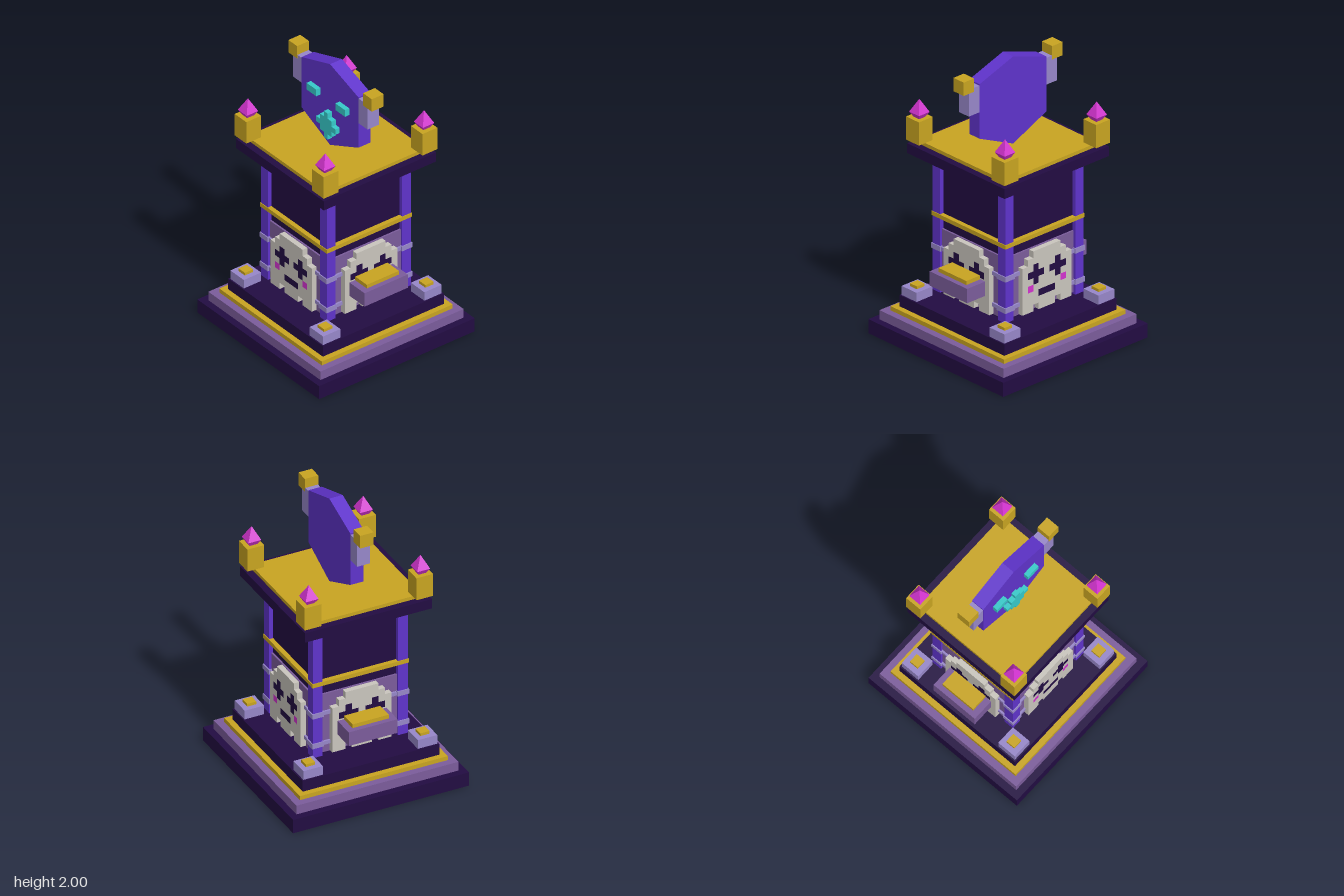
import * as THREE from 'three';
import { mergeGeometries } from 'three/addons/utils/BufferGeometryUtils.js';

const mat = (name, color) => {
  const m = new THREE.MeshStandardMaterial({ color });
  m.name = name;
  return m;
};

export function createModel() {
  const dark = mat('midnight', 0x220c42);
  const violet = mat('violet', 0x5f33cb);
  const plum = mat('plum', 0x7b5c9b);
  const lavender = mat('lavender', 0x9787c9);
  const gold = mat('gold', 0xc8a421);
  const magenta = mat('magenta', 0xd233cf);
  const teal = mat('teal', 0x36c9c9);
  const bone = mat('bone', 0xc9c5bd);

  const root = new THREE.Group();
  root.name = 'shrineTower';

  const add = (name, geo, material, parent = root) => {
    const m = new THREE.Mesh(geo, material);
    m.name = name;
    parent.add(m);
    return m;
  };
  // Box given by its extents on each axis
  const boxGeo = (x0, x1, y0, y1, z0, z1) =>
    new THREE.BoxGeometry(x1 - x0, y1 - y0, z1 - z0)
      .translate((x0 + x1) / 2, (y0 + y1) / 2, (z0 + z1) / 2);
  // Square slab centred on the tower axis
  const slab = (name, half, y0, y1, material) =>
    add(name, boxGeo(-half, half, y0, y1, -half, half), material);
  // Pixel art: one box for each run of equal letters, merged per letter
  const pixels = (rows, size, top, z0, z1, letter) => {
    const geos = [];
    rows.forEach((row, r) => {
      for (let c = 0; c < row.length; c++) {
        if (row[c] !== letter) continue;
        const start = c;
        while (row[c + 1] === letter) c++;
        const left = -row.length * size / 2;
        geos.push(boxGeo(left + start * size, left + (c + 1) * size,
          top - (r + 1) * size, top - r * size, z0, z1));
      }
    });
    return mergeGeometries(geos);
  };

  // Stepped base
  slab('baseStep', 0.63, 0, 0.1, dark);
  slab('plumStep', 0.58, 0.1, 0.165, plum);
  slab('goldStep', 0.53, 0.165, 0.195, gold);
  slab('topStep', 0.49, 0.195, 0.275, dark);

  // Tower body and roof
  slab('core', 0.312, 0.32, 1.285, dark);
  slab('goldBand', 0.345, 0.848, 0.877, gold);
  slab('roofSlab', 0.455, 1.285, 1.355, dark);
  slab('roofPlate', 0.405, 1.355, 1.38, gold);

  // Corner parts: foot blocks, pillars, wraps, roof posts and gems
  const diag = Math.SQRT2;
  const gemTop = new THREE.ConeGeometry(0.0465 * diag, 0.092, 4, 1, true).toNonIndexed();
  const gemBottom = new THREE.CylinderGeometry(0.0465 * diag, 0.027 * diag, 0.035, 4).toNonIndexed();
  gemTop.rotateY(Math.PI / 4).translate(0, 1.626, 0);
  gemBottom.rotateY(Math.PI / 4).translate(0, 1.5625, 0);
  const gemGeo = mergeGeometries([gemTop, gemBottom]);
  gemGeo.computeVertexNormals();
  for (const sx of [-1, 1]) for (const sz of [-1, 1]) {
    const corner = new THREE.Group();
    corner.name = 'corner';
    root.add(corner);
    const block = (name, c, half, y0, y1, material) =>
      add(name, boxGeo(sx * c - half, sx * c + half, y0, y1, sz * c - half, sz * c + half), material, corner);
    block('footBlock', 0.41, 0.07, 0.275, 0.34, lavender);
    block('footCap', 0.41, 0.033, 0.34, 0.36, gold);
    block('pillar', 0.305, 0.035, 0.32, 1.285, violet);
    for (const y of [0.41, 0.633]) block('pillarWrap', 0.305, 0.042, y - 0.018, y + 0.018, lavender);
    block('roofPost', 0.4, 0.06, 1.38, 1.545, gold);
    add('gem', gemGeo, magenta, corner).position.set(sx * 0.4, 0, sz * 0.4);
  }

  // Pixel face on each of the four sides: W bone, D dark, P pink
  const face = [
    '..WWWWW..',
    '.WWWWWWW.',
    'WWDWWWDWW',
    'WDDDWDDDW',
    'WWDWWWDWW',
    'WPWWWWWPW',
    'WWWDDDWWW',
    'WWWWWWWWW',
    'WW.WWW.WW',
  ];
  const faceMaterials = { W: bone, D: dark, P: magenta };
  const faceNames = { W: 'faceBone', D: 'faceFeatures', P: 'faceCheeks' };
  for (let i = 0; i < 4; i++) {
    const side = new THREE.Group();
    side.name = 'facePanel';
    side.rotation.y = i * Math.PI / 2;
    root.add(side);
    add('panel', boxGeo(-0.27, 0.27, 0.335, 0.77, 0.3, 0.325), plum, side);
    for (const y of [0.41, 0.633])
      add('strap', boxGeo(-0.265, 0.265, y - 0.013, y + 0.013, 0.31, 0.338), lavender, side);
    for (const letter of 'WDP')
      add(faceNames[letter], pixels(face, 0.0473, 0.766, 0.32, 0.363, letter), faceMaterials[letter], side);
  }

  // Side shelves with gold trays
  for (const s of [-1, 1]) {
    const shelf = new THREE.Group();
    shelf.name = 'shelf';
    root.add(shelf);
    add('shelfBlock', boxGeo(-0.08, 0.08, 0.465, 0.567, -0.175, 0.175), plum, shelf);
    add('shelfTray', boxGeo(-0.06, 0.06, 0.567, 0.595, -0.13, 0.13), gold, shelf);
    shelf.children[0].position.x = s * 0.44;
    shelf.children[1].position.x = s * 0.425;
  }

  // Hexagonal mask on the roof
  const mask = new THREE.Group();
  mask.name = 'mask';
  root.add(mask);
  const outline = new THREE.Shape([
    [0, 1.38], [0.293, 1.513], [0.293, 1.9], [0, 2], [-0.293, 1.9], [-0.293, 1.513],
  ].map(([x, y]) => new THREE.Vector2(x, y)));
  add('maskPlate', new THREE.ExtrudeGeometry(outline, { depth: 0.096, bevelEnabled: false })
    .translate(0, 0, -0.048), violet, mask);
  for (const s of [-1, 1]) {
    add('horn', boxGeo(-0.047, 0.047, 1.7, 1.89, -0.046, 0.046), lavender, mask).position.x = s * 0.338;
    add('hornTip', boxGeo(-0.045, 0.045, 1.863, 1.958, -0.048, 0.048), gold, mask).position.x = s * 0.386;
    add('maskEye', boxGeo(-0.05, 0.05, 1.715, 1.766, 0.045, 0.083), teal, mask).position.x = s * 0.149;
  }
  const mouth = ['..T..', '.TTT.', 'TTTTT', '.TTT.', '..T..'];
  add('maskMouth', pixels(mouth, 0.04, 1.645, 0.045, 0.083, 'T'), teal, mask);

  return root;
}
